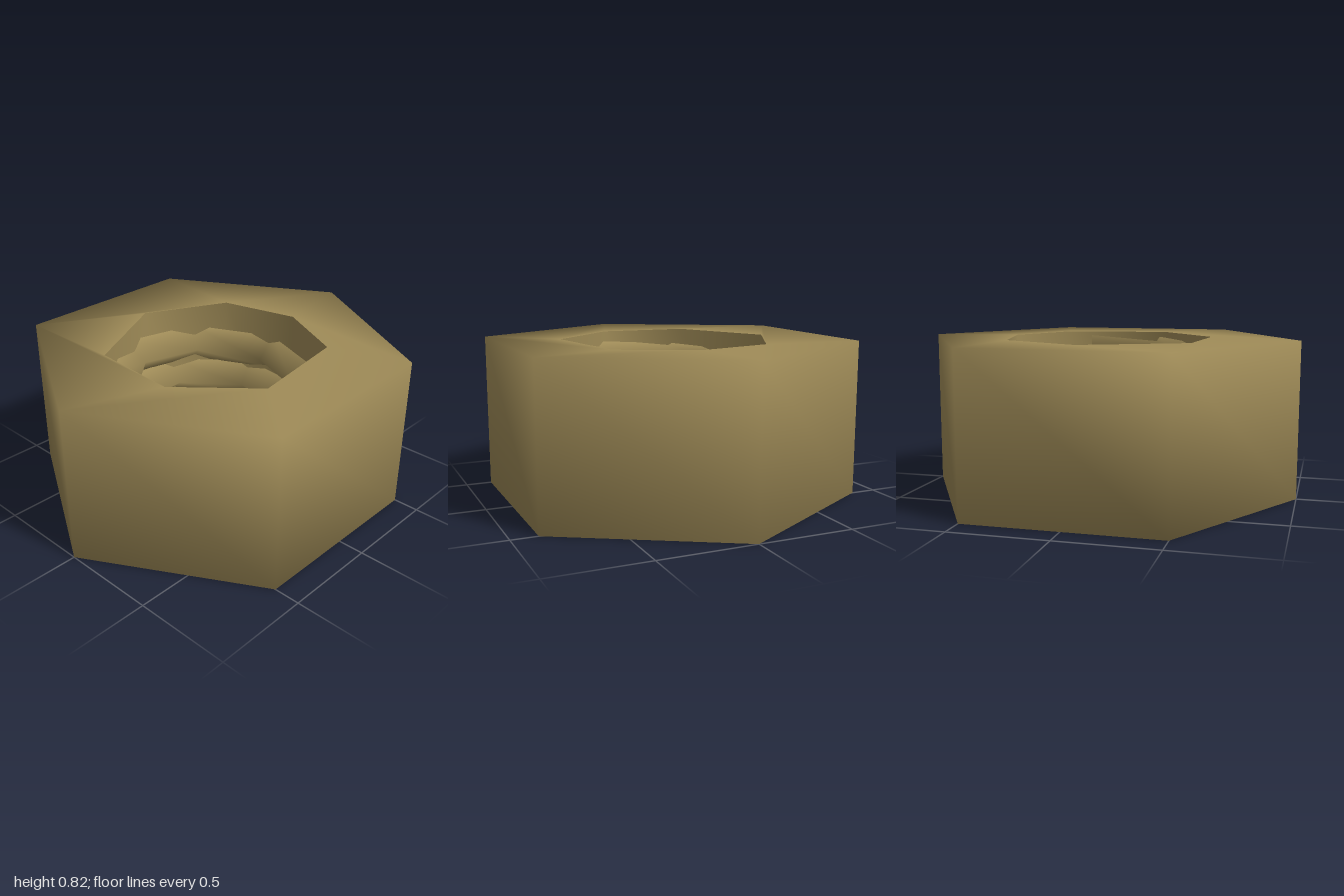
import * as THREE from 'three';

const H = 0.82;       // nut height
const PITCH = 0.2;    // rise per thread turn
const ROOT = 0.56, CREST = 0.43;

function makeMesh(name, points, index, material) {
  const g = new THREE.BufferGeometry();
  g.setAttribute('position', new THREE.Float32BufferAttribute(points.flat(), 3));
  g.setIndex(index);
  g.computeVertexNormals();
  const mesh = new THREE.Mesh(g, material);
  mesh.name = name;
  return mesh;
}

// Hexagon with corners on the z axis, counter-clockwise in (x, -z)
const hexagon = Array.from({ length: 6 }, (_, i) => {
  const a = Math.PI / 6 + (i * Math.PI) / 3;
  return new THREE.Vector2(Math.cos(a), Math.sin(a));
});

// Uneven seven-sided bore, clockwise in (x, -z)
const bore = [
  [0.53, 0.2], [0.17, 0.52], [-0.3, 0.49], [-0.56, -0.02],
  [-0.34, -0.45], [0.07, -0.55], [0.45, -0.36],
].map(([x, z]) => new THREE.Vector2(x, -z));

// Outer sides and both end faces, sharing corners so the shading rolls over the edges
function hexBody(material) {
  const outline = [...hexagon, ...bore];
  const n = outline.length;
  const points = [
    ...outline.map((p) => [p.x, H, -p.y]),
    ...outline.map((p) => [p.x, 0, -p.y]),
  ];
  const index = [];
  for (const [a, b, c] of THREE.ShapeUtils.triangulateShape(hexagon, [bore])) {
    index.push(a, b, c, n + a, n + c, n + b);
  }
  for (let i = 0; i < 6; i++) {
    const j = (i + 1) % 6;
    index.push(i, n + i, n + j, i, n + j, j);
  }
  return makeMesh('hexBody', points, index, material);
}

// Plain wall behind the thread
function boreWall(material) {
  const n = bore.length;
  const points = [
    ...bore.map((p) => [p.x, H, -p.y]),
    ...bore.map((p) => [p.x, 0, -p.y]),
  ];
  const index = [];
  for (let i = 0; i < n; i++) {
    const j = (i + 1) % n;
    index.push(i, n + i, n + j, i, n + j, j);
  }
  return makeMesh('boreWall', points, index, material);
}

// Coarse helical ridge: root, crest, root swept upward, tapering out at both ends
function thread(material) {
  const perTurn = 7.3;
  const start = PITCH / 2, end = H - PITCH / 2;
  const steps = Math.round(((end - start) / PITCH) * perTurn);
  const points = [], index = [];
  for (let i = 0; i <= steps; i++) {
    const a = 0.36 - (i / perTurn) * Math.PI * 2;
    const y = THREE.MathUtils.lerp(start, end, i / steps);
    const fade = Math.min(1, i / 2, (steps - i) / 2);
    const crest = THREE.MathUtils.lerp(ROOT, CREST, fade);
    for (const [r, dy] of [[ROOT, -PITCH / 2], [crest, 0], [ROOT, PITCH / 2]]) {
      points.push([r * Math.cos(a), y + dy, r * Math.sin(a)]);
    }
    if (i === steps) continue;
    for (let k = 0; k < 2; k++) {
      const p = i * 3 + k, q = p + 3;
      index.push(p, p + 1, q + 1, p, q + 1, q);
    }
  }
  return makeMesh('thread', points, index, material);
}

export function createModel() {
  const group = new THREE.Group();
  group.name = 'hexNut';
  const brass = new THREE.MeshStandardMaterial({ color: 0xa08c58, side: THREE.DoubleSide });
  group.add(hexBody(brass), boreWall(brass), thread(brass));
  return group;
}
